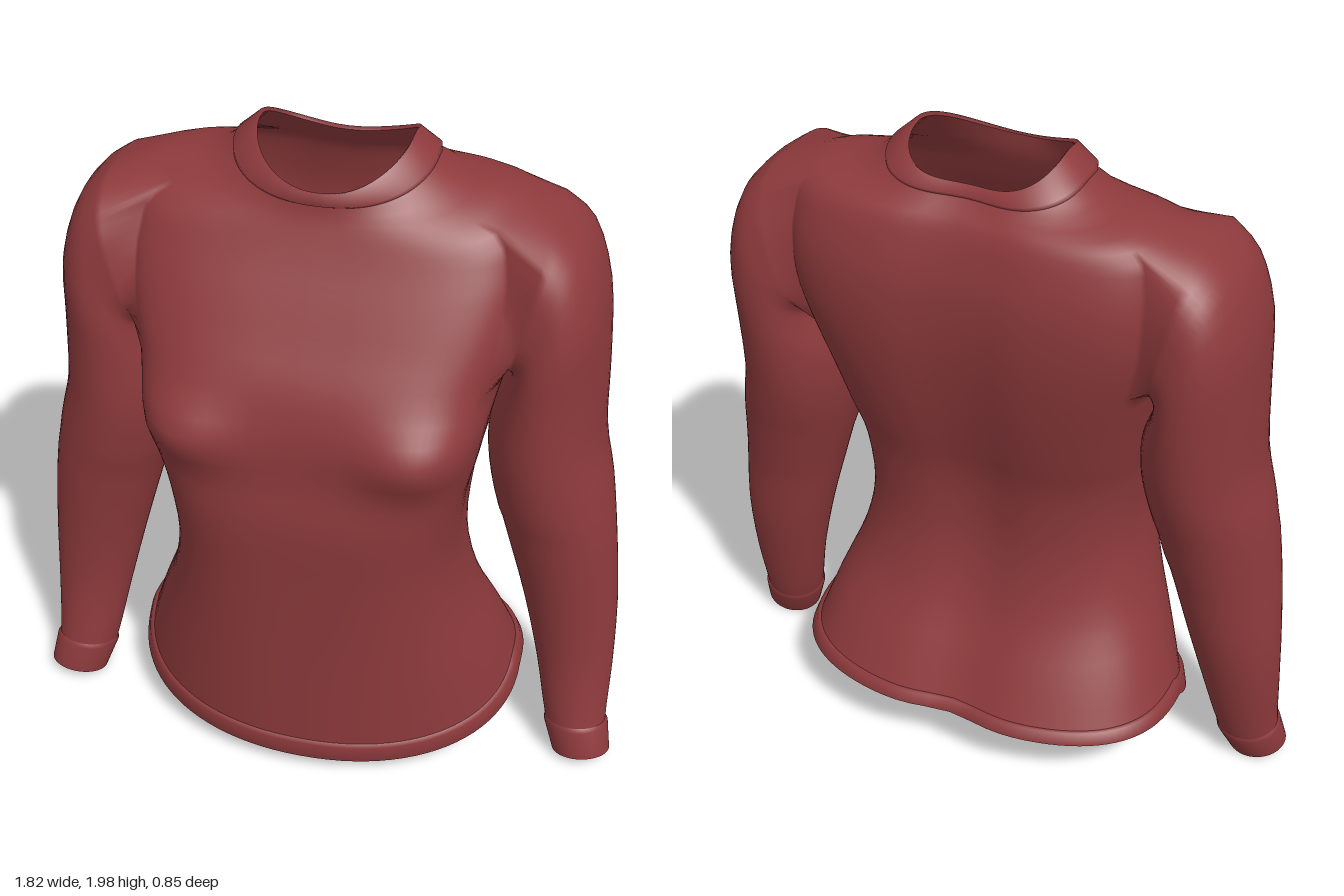
import * as THREE from 'three';

const COLS = 96, STEPS = 3, ARM = 8;   // columns round the body, rows per section, half armhole width
const ROW0 = 7 * STEPS, ROW1 = 11 * STEPS; // armhole rows

// body sections, hem to neck: half width, z front/side/back, y front/side/back,
// roundness front/back, sharpness of the rise at the sides
const BODY = [
  [0.59, 0.35, -0.05, -0.425, 0.075, 0.225, 0.215, 0.95, 0.75, 0.75],
  [0.53, 0.36, -0.02, -0.35, 0.32, 0.4, 0.36, 0.88, 0.74, 0.9],
  [0.455, 0.37, 0.03, -0.265, 0.55, 0.6, 0.53, 0.78, 0.72, 1],
  [0.418, 0.385, 0.06, -0.225, 0.77, 0.8, 0.73, 0.7, 0.68, 1],
  [0.43, 0.4, 0.06, -0.24, 0.97, 1.0, 0.95, 0.62, 0.65, 1],
  [0.46, 0.39, 0.04, -0.28, 1.12, 1.15, 1.1, 0.54, 0.62, 1],
  [0.485, 0.385, 0.0, -0.32, 1.27, 1.28, 1.25, 0.52, 0.6, 1],
  [0.51, 0.355, -0.04, -0.35, 1.4, 1.38, 1.4, 0.56, 0.56, 1],
  [0.54, 0.29, -0.06, -0.365, 1.52, 1.5, 1.53, 0.54, 0.53, 1],
  [0.55, 0.235, -0.07, -0.365, 1.62, 1.62, 1.65, 0.53, 0.52, 1],
  [0.545, 0.19, -0.08, -0.345, 1.7, 1.74, 1.75, 0.54, 0.54, 1],
  [0.51, 0.155, -0.09, -0.32, 1.77, 1.858, 1.82, 0.62, 0.6, 1.3],
  [0.325, 0.13, -0.09, -0.285, 1.83, 1.895, 1.86, 0.8, 0.68, 1.6],
  [0.21, 0.12, -0.09, -0.25, 1.89, 1.985, 1.905, 0.92, 0.7, 1.7],
];

// sleeve sections, shoulder to wrist: inner x,y, outer x,y, z front/back, roundness
const SLEEVE = [
  [0.515, 1.38, 0.61, 1.825, 0.175, -0.31, 0.7],
  [0.52, 1.36, 0.7, 1.75, 0.18, -0.325, 0.78],
  [0.5, 1.31, 0.76, 1.59, 0.19, -0.325, 0.88],
  [0.465, 1.22, 0.78, 1.38, 0.185, -0.31, 1],
  [0.46, 1.1, 0.79, 1.16, 0.18, -0.28, 1],
  [0.485, 0.95, 0.825, 1.0, 0.165, -0.24, 1],
  [0.535, 0.78, 0.855, 0.8, 0.14, -0.185, 1],
  [0.6, 0.55, 0.878, 0.56, 0.11, -0.15, 1],
  [0.655, 0.33, 0.885, 0.34, 0.1, -0.1, 1],
  [0.7, 0.13, 0.885, 0.14, 0.125, -0.045, 1],
  [0.74, 0.025, 0.902, 0.045, 0.142, 0.0, 1],
];

// smooth in-between sections
function refine(table) {
  const rows = [];
  const cr = (a, b, c, d, t) => 0.5 * (2 * b + (c - a) * t + (2 * a - 5 * b + 4 * c - d) * t * t
    + (3 * b - a - 3 * c + d) * t * t * t);
  const at = (i) => table[Math.min(Math.max(i, 0), table.length - 1)];
  for (let k = 0; k <= (table.length - 1) * STEPS; k++) {
    const i = Math.floor(k / STEPS), t = (k % STEPS) / STEPS;
    rows.push(at(i).map((_, c) => cr(at(i - 1)[c], at(i)[c], at(i + 1)[c], at(i + 2)[c], t)));
  }
  return rows;
}

// signed power, squares off a circle
const power = (v, p) => (Math.abs(v) < 1e-6 ? 0 : Math.sign(v) * Math.abs(v) ** p);

function bodyRing([w, zf, zs, zb, yf, ys, yb, pf, pb, rise]) {
  return Array.from({ length: COLS }, (_, j) => {
    const a = j / COLS * Math.PI * 2, s = Math.sin(a), front = s > 0;
    const p = front ? pf : pb;
    const x = w * power(Math.cos(a), p), t = Math.abs(power(s, p));
    const y = ys + ((front ? yf : yb) - ys) * t ** rise;
    let z = zs + ((front ? zf : zb) - zs) * t;
    if (front) z += 0.065 * Math.exp(-(((Math.abs(x) - 0.34) / 0.17) ** 2) - ((y - 1.25) / 0.1) ** 2); // bust
    else z += 0.03 * t * Math.exp(-((x / 0.12) ** 2)); // spine hollow
    return new THREE.Vector3(x, y, z);
  });
}

function sleeveRing([xi, yi, xo, yo, zf, zb, p], count, side) {
  return Array.from({ length: count }, (_, i) => {
    const f = (i - ARM) / count * Math.PI * 2;
    const u = 0.5 - 0.5 * power(Math.cos(f), p), dz = -power(Math.sin(f), p) * (zf - zb) / 2;
    const tilt = yo < 0.9 ? 0.2 : 0;
    return new THREE.Vector3(side * (xi + (xo - xi) * u), yi + (yo - yi) * u + tilt * dz, (zf + zb) / 2 + dz);
  });
}

// folded band along an open edge
function band(edge, inner, thickness) {
  const n = edge.length, rings = [[], [], [], []], index = [];
  edge.forEach((p, i) => {
    const q = inner[i];
    const tangent = edge[(i + 1) % n].clone().sub(edge[(i + n - 1) % n]);
    const out = tangent.cross(p.clone().sub(q)).normalize().multiplyScalar(thickness);
    rings[0].push(q);
    rings[1].push(q.clone().lerp(p, 0.12).add(out));
    rings[2].push(p.clone().add(out));
    rings[3].push(p);
  });
  for (let k = 0; k < 3; k++) for (let i = 0; i < n; i++) {
    const a = k * n + i, b = k * n + (i + 1) % n;
    index.push(a, a + n, b + n, a, b + n, b);
  }
  const g = new THREE.BufferGeometry().setFromPoints(rings.flat());
  g.setIndex(index);
  g.computeVertexNormals();
  return g;
}

export function createModel() {
  const group = new THREE.Group();
  const fabric = new THREE.MeshStandardMaterial({ color: 0x8e3a3c, side: THREE.DoubleSide });
  fabric.name = 'red fabric';
  const add = (name, geometry) => {
    const mesh = new THREE.Mesh(geometry, fabric);
    mesh.name = name;
    group.add(mesh);
  };

  // torso grid with an armhole left open on each side
  const rings = refine(BODY).map(bodyRing);
  const points = rings.flat();
  const id = (i, j) => i * COLS + (j + COLS) % COLS;
  const torso = [];
  for (let i = 0; i < rings.length - 1; i++) for (let j = 0; j < COLS; j++) {
    const k = (j + ARM) % (COLS / 2);
    if (i >= ROW0 && i < ROW1 && k < 2 * ARM) continue;
    torso.push(id(i, j), id(i + 1, j), id(i + 1, j + 1), id(i, j), id(i + 1, j + 1), id(i, j + 1));
  }

  // sleeves grown from the armhole edges
  const sleeves = [1, -1].map((side) => {
    const hole = [], index = [];
    const put = (i, j) => hole.push(id(i, side > 0 ? j : COLS / 2 - j));
    for (let j = ARM; j >= -ARM; j--) put(ROW0, j);
    for (let i = ROW0 + 1; i <= ROW1; i++) put(i, -ARM);
    for (let j = -ARM + 1; j <= ARM; j++) put(ROW1, j);
    for (let i = ROW1 - 1; i > ROW0; i--) put(i, ARM);
    const n = hole.length;
    const loops = refine(SLEEVE).map((s) => sleeveRing(s, n, side));
    let previous = hole;
    for (const loop of loops) {
      const next = loop.map((p) => points.push(p) - 1);
      for (let i = 0; i < n; i++) {
        const m = (i + 1) % n, a = previous[i], b = previous[m], c = next[m], d = next[i];
        index.push(...(side > 0 ? [a, b, c, a, c, d] : [a, c, b, a, d, c]));
      }
      previous = next;
    }
    return { index, loops, side };
  });

  // shared normals keep the shoulder seams smooth
  const whole = new THREE.BufferGeometry().setFromPoints(points);
  whole.setIndex([...torso, ...sleeves[0].index, ...sleeves[1].index]);
  whole.computeVertexNormals();
  const part = (index) => {
    const g = new THREE.BufferGeometry();
    g.setAttribute('position', whole.attributes.position);
    g.setAttribute('normal', whole.attributes.normal);
    g.setIndex(index);
    return g;
  };
  add('torso', part(torso));
  for (const { index, loops, side } of sleeves) {
    const label = side > 0 ? 'left' : 'right';
    add(label + 'Sleeve', part(index));
    add(label + 'Cuff', band(loops.at(-1), loops.at(-1 - STEPS), 0.007 * side));
  }

  // hem and collar bands
  add('hemBand', band(rings[0], rings[1], 0.012));
  add('collar', band(rings.at(-1), rings.at(-3), -0.012));
  return group;
}
